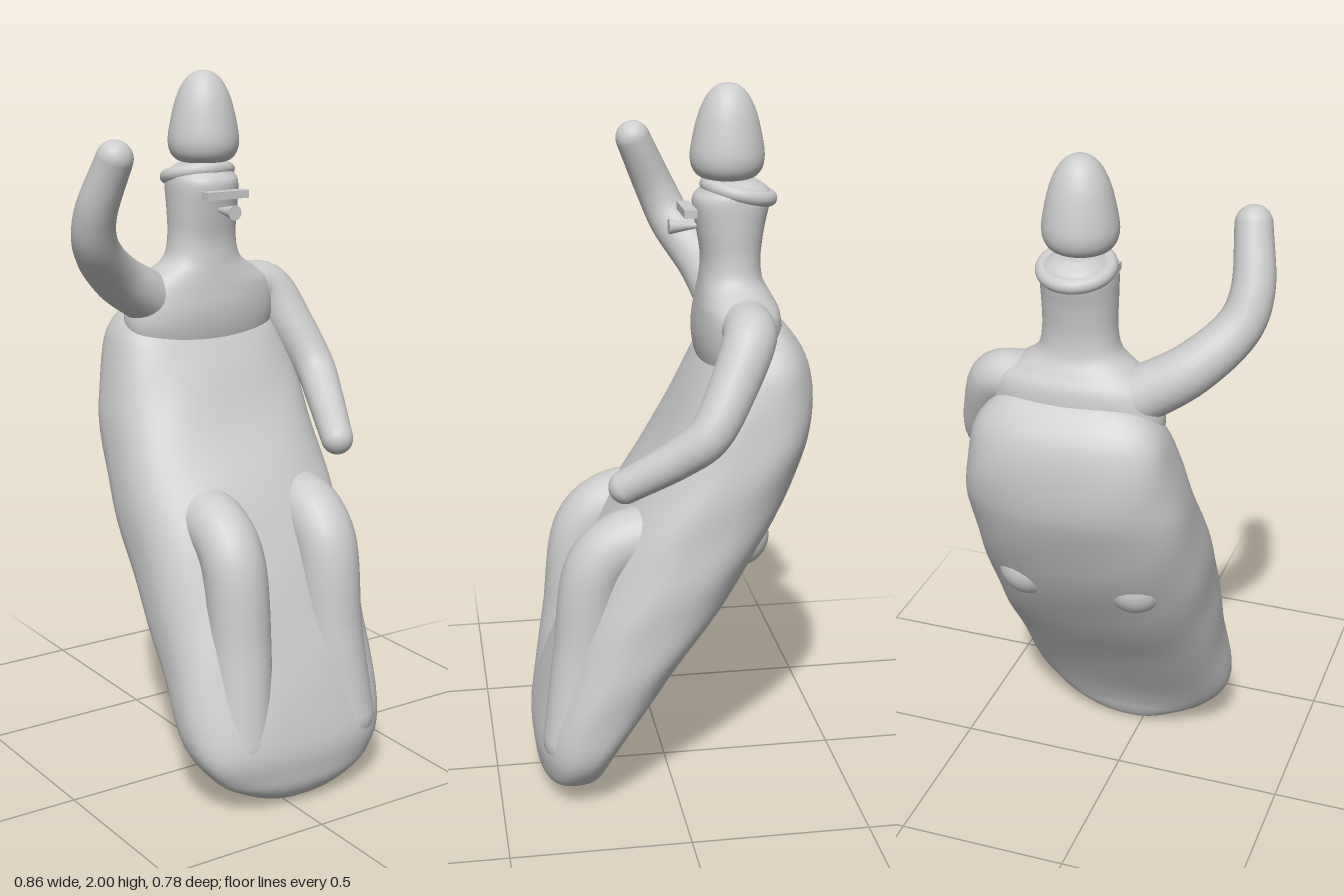
import * as THREE from 'three';

const clay = new THREE.MeshStandardMaterial({ color: 0xcccccc });
clay.name = 'light grey';

function mesh(name, geometry, x = 0, y = 0, z = 0) {
  const m = new THREE.Mesh(geometry, clay);
  m.name = name;
  m.position.set(x, y, z);
  return m;
}

// Smooth closed skin through horizontal sections [y, zBack, zFront, xMin, xMax]
function loft(sections, power, lump = 0, steps = 64, sides = 56) {
  const spline = (f) => new THREE.CatmullRomCurve3(sections.map(f), false, 'catmullrom', 0.5);
  const mid = spline(([y, b, f, l, r]) => new THREE.Vector3((l + r) / 2, y, (b + f) / 2));
  const half = spline(([, b, f, l, r]) => new THREE.Vector3((r - l) / 2, 0, (f - b) / 2));
  const pos = [], idx = [];
  const round = (v) => Math.sign(v) * Math.abs(v) ** (2 / power);
  for (let i = 0; i <= steps; i++) {
    const c = mid.getPoint(i / steps), h = half.getPoint(i / steps);
    for (let j = 0; j < sides; j++) {
      const a = (j / sides) * Math.PI * 2;
      const k = 1 + lump * Math.sin(c.y * 17 + 2 * a) * Math.sin(3 * a + c.y * 6);
      pos.push(c.x + h.x * k * round(Math.cos(a)), c.y, c.z + h.z * k * round(Math.sin(a)));
      if (i === steps) continue;
      const p = i * sides + j, q = i * sides + (j + 1) % sides;
      idx.push(p, p + sides, q, q, p + sides, q + sides);
    }
  }
  // end caps
  const base = pos.length / 3, last = steps * sides;
  pos.push(...mid.getPoint(0).toArray(), ...mid.getPoint(1).toArray());
  for (let j = 0; j < sides; j++) {
    const n = (j + 1) % sides;
    idx.push(base, j, n, base + 1, last + n, last + j);
  }
  const g = new THREE.BufferGeometry();
  g.setAttribute('position', new THREE.Float32BufferAttribute(pos, 3));
  g.setIndex(idx);
  g.computeVertexNormals();
  return g;
}

// Tapered round-ended limb along a smooth path
function limb(name, points, r0, r1) {
  const group = new THREE.Group();
  group.name = name;
  const path = new THREE.CatmullRomCurve3(points.map((p) => new THREE.Vector3(...p)));
  const steps = 40, sides = 24;
  const g = new THREE.TubeGeometry(path, steps, 1, sides);
  const pos = g.attributes.position, v = new THREE.Vector3();
  for (let i = 0; i <= steps; i++) {
    const c = path.getPointAt(i / steps);
    const r = THREE.MathUtils.lerp(r0, r1, i / steps);
    for (let j = 0; j <= sides; j++) {
      const k = i * (sides + 1) + j;
      v.fromBufferAttribute(pos, k).sub(c).multiplyScalar(r).add(c);
      pos.setXYZ(k, v.x, v.y, v.z);
    }
  }
  group.add(mesh(name + 'Tube', g));
  group.add(mesh(name + 'Start', new THREE.SphereGeometry(r0, 24, 16), ...points[0]));
  group.add(mesh(name + 'End', new THREE.SphereGeometry(r1, 24, 16), ...points[points.length - 1]));
  return group;
}

export function createModel() {
  const model = new THREE.Group();
  model.name = 'figure';

  // Long leaning body
  model.add(mesh('body', loft([
    [0, 0.25, 0.3, 0.01, 0.08],
    [0.015, 0.22, 0.345, -0.06, 0.155],
    [0.05, 0.2, 0.375, -0.14, 0.235],
    [0.1, 0.18, 0.388, -0.215, 0.3],
    [0.2, 0.125, 0.39, -0.275, 0.35],
    [0.4, -0.01, 0.335, -0.28, 0.365],
    [0.6, -0.155, 0.26, -0.285, 0.37],
    [0.8, -0.275, 0.17, -0.285, 0.372],
    [1.0, -0.36, 0.05, -0.27, 0.365],
    [1.1, -0.385, -0.005, -0.255, 0.355],
    [1.2, -0.388, -0.055, -0.235, 0.335],
    [1.28, -0.37, -0.1, -0.21, 0.31],
    [1.34, -0.33, -0.15, -0.16, 0.26],
    [1.375, -0.29, -0.19, -0.09, 0.19],
    [1.385, -0.26, -0.22, 0.0, 0.1],
  ], 2.6, 0.012)));

  // Chest and shoulders narrowing into the neck
  model.add(mesh('chestAndNeck', loft([
    [1.2, -0.28, -0.1, -0.16, 0.25],
    [1.28, -0.295, -0.08, -0.19, 0.28],
    [1.34, -0.305, -0.075, -0.19, 0.29],
    [1.4, -0.3, -0.08, -0.165, 0.275],
    [1.44, -0.28, -0.085, -0.12, 0.215],
    [1.48, -0.26, -0.09, -0.07, 0.16],
    [1.54, -0.255, -0.093, -0.055, 0.145],
    [1.62, -0.265, -0.08, -0.055, 0.145],
    [1.69, -0.28, -0.07, -0.055, 0.145],
    [1.72, -0.275, -0.09, -0.045, 0.135],
    [1.745, -0.24, -0.11, -0.01, 0.1],
  ], 2.2)));

  // Raised right arm and lowered left arm
  model.add(limb('rightArm', [
    [-0.11, 1.365, -0.19], [-0.25, 1.45, -0.15], [-0.355, 1.555, -0.075],
    [-0.377, 1.64, -0.035], [-0.355, 1.795, 0.035],
  ], 0.078, 0.05));
  model.add(limb('leftArm', [
    [0.2, 1.375, -0.19], [0.275, 1.365, -0.185], [0.335, 1.25, -0.13],
    [0.37, 1.13, -0.06], [0.35, 1.07, 0.01], [0.295, 0.975, 0.15],
  ], 0.075, 0.046));

  // Bent legs, thighs running back through the body
  for (const [name, x, foot] of [['rightLeg', -0.11, -0.128], ['leftLeg', 0.205, 0.228]]) {
    model.add(limb(name, [
      [x, 0.785, -0.17], [x, 0.785, -0.02], [x, 0.785, 0.13], [x, 0.715, 0.215],
      [x, 0.45, 0.258], [foot, 0.2, 0.292],
    ], 0.09, 0.088));
  }

  // Tilted collar ring
  const collar = mesh('collarRing', new THREE.TorusGeometry(0.086, 0.021, 16, 40), 0.045, 1.712, -0.195);
  collar.rotation.x = Math.PI / 2 - 0.23;
  model.add(collar);

  // Egg-shaped top
  const egg = [[0, 1.745], [0.06, 1.748], [0.088, 1.765], [0.1, 1.8], [0.095, 1.85],
    [0.078, 1.92], [0.055, 1.968], [0.028, 1.993], [0, 2]].map((p) => new THREE.Vector2(...p));
  const profile = new THREE.SplineCurve(egg).getPoints(40);
  profile.forEach((p) => { p.x = Math.max(p.x, 0); });
  model.add(mesh('eggTop', new THREE.LatheGeometry(profile, 40), 0.045, 0, -0.163));

  // Face: brow bar and flared nose
  model.add(mesh('browBar', new THREE.BoxGeometry(0.136, 0.022, 0.034), 0.047, 1.665, -0.054));
  const nose = mesh('nose', new THREE.CylinderGeometry(0.021, 0.006, 0.08, 24), 0.047, 1.62, -0.045);
  nose.rotation.x = Math.PI / 2;
  model.add(nose);

  return model;
}
